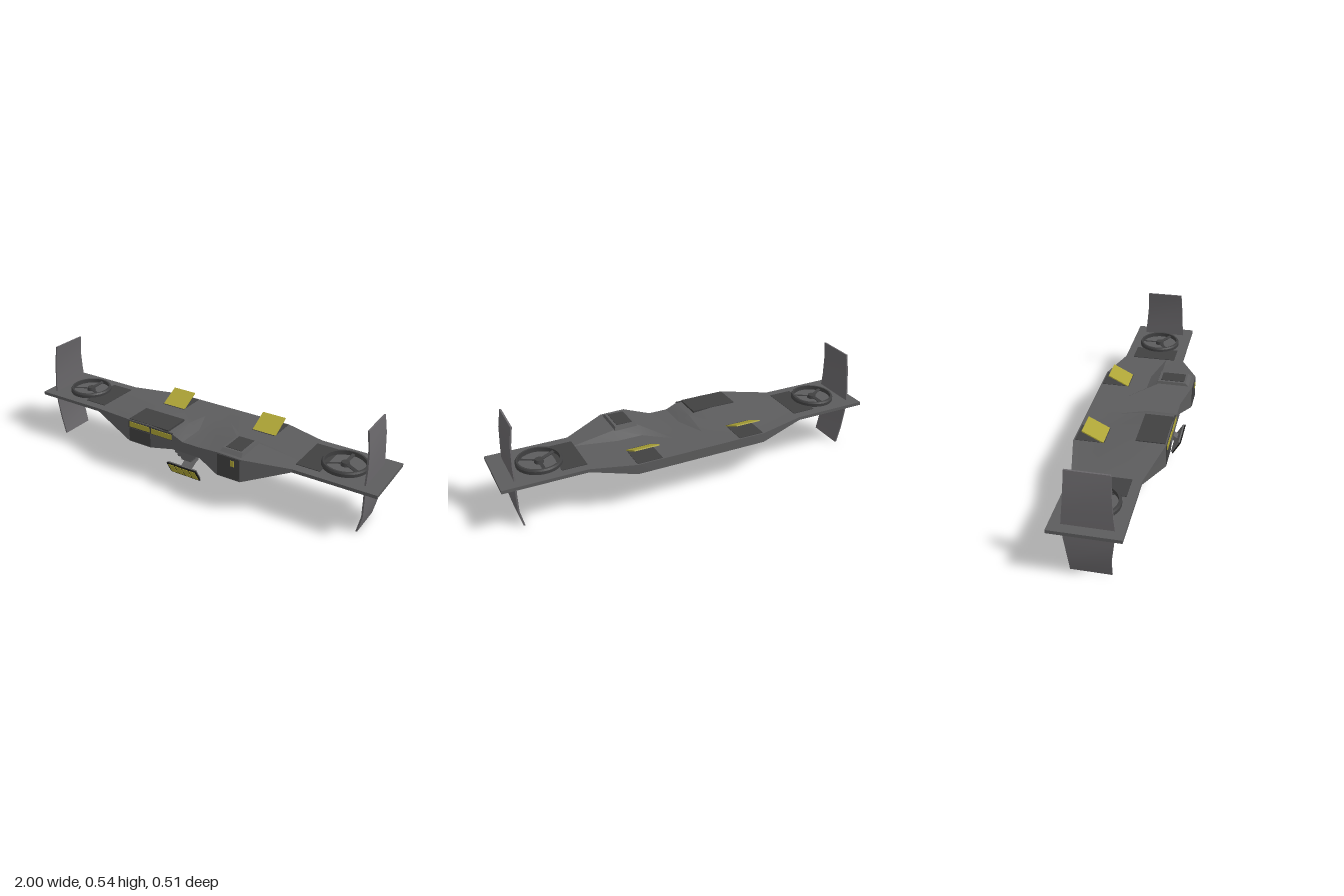
import * as THREE from 'three';
import { toCreasedNormals } from 'three/addons/utils/BufferGeometryUtils.js';

const mat = (color) => new THREE.MeshStandardMaterial({ color, side: THREE.DoubleSide });
const hull = mat(0x5c5c5d), dark = mat(0x404041), fin = mat(0x69676a);
const yellow = mat(0xada436), black = mat(0x161616), grey = mat(0x626263);

// Skin a list of closed rings, each counter-clockwise about the direction of travel
function loft(rings, crease = 0.35) {
  const pos = [], n = rings[0].length;
  const tri = (a, b, c) => pos.push(...a, ...b, ...c);
  for (let i = 0; i < rings.length - 1; i++) {
    for (let j = 0; j < n; j++) {
      const k = (j + 1) % n;
      tri(rings[i][j], rings[i][k], rings[i + 1][k]);
      tri(rings[i][j], rings[i + 1][k], rings[i + 1][j]);
    }
  }
  const last = rings[rings.length - 1];
  for (let j = 1; j < n - 1; j++) {
    tri(rings[0][0], rings[0][j + 1], rings[0][j]);
    tri(last[0], last[j], last[j + 1]);
  }
  const g = new THREE.BufferGeometry();
  g.setAttribute('position', new THREE.Float32BufferAttribute(pos, 3));
  g.computeVertexNormals();
  return toCreasedNormals(g, crease);
}

// Rectangle ring in a level plane
const rect = (x0, x1, y, z0, z1) => [[x0, y, z0], [x0, y, z1], [x1, y, z1], [x1, y, z0]];

function add(parent, name, geometry, material, x = 0, y = 0, z = 0) {
  const m = new THREE.Mesh(geometry, material);
  m.name = name;
  m.position.set(x, y, z);
  parent.add(m);
  return m;
}

// Box given by its limits
const block = (parent, name, material, x0, x1, y0, y1, z0, z1) =>
  add(parent, name, new THREE.BoxGeometry(x1 - x0, y1 - y0, z1 - z0), material,
    (x0 + x1) / 2, (y0 + y1) / 2, (z0 + z1) / 2);

function makeRotor(x) {
  const g = new THREE.Group();
  g.name = 'rotor';
  g.position.set(x, 0.27, -0.025);
  // Outer duct as a turned ring
  const profile = [[0.1, 0], [0.114, 0], [0.114, 0.018], [0.109, 0.026], [0.1, 0.026], [0.1, 0]]
    .map(([r, y]) => new THREE.Vector2(r, y));
  add(g, 'ductRing', toCreasedNormals(new THREE.LatheGeometry(profile, 32), 0.4), dark);
  add(g, 'ductFloor', new THREE.CylinderGeometry(0.102, 0.102, 0.004, 32), hull, 0, 0.002, 0);
  add(g, 'hub', new THREE.CylinderGeometry(0.02, 0.024, 0.018, 16), dark, 0, 0.013, 0);
  for (let i = 0; i < 3; i++) {
    const arm = new THREE.Group();
    arm.name = 'bladeArm';
    arm.rotation.y = Math.PI / 2 + i * Math.PI * 2 / 3;
    const blade = add(arm, 'blade', new THREE.BoxGeometry(0.09, 0.004, 0.016), dark, 0.055, 0.014, 0);
    blade.rotation.x = 0.3;
    g.add(arm);
  }
  return g;
}

export function createModel() {
  const root = new THREE.Group();
  root.name = 'flyingWing';

  // Hull sections: x, front z, rear z, bottom y, top y, hump start z, hump end z, rear bottom y
  const sections = [
    [-1, 0.14, -0.19, 0.255, 0.272, 0.05, -0.1, 0.255],
    [-0.6, 0.14, -0.19, 0.255, 0.272, 0.05, -0.1, 0.255],
    [-0.34, 0.205, -0.255, 0.18, 0.306, 0.05, -0.1, 0.22],
    [-0.2, 0.205, -0.255, 0.18, 0.308, 0.05, -0.1, 0.22],
    [-0.06, 0.205, -0.255, 0.212, 0.297, 0.05, -0.1, 0.22],
    [0.0, 0.205, -0.255, 0.212, 0.271, 0.05, -0.1, 0.22],
    [0.1, 0.205, -0.255, 0.212, 0.271, 0.05, -0.1, 0.22],
    [0.23, 0.248, -0.255, 0.18, 0.305, 0.06, 0.0, 0.22],
    [0.36, 0.248, -0.255, 0.18, 0.303, 0.06, 0.0, 0.22],
    [0.58, 0.145, -0.19, 0.255, 0.272, 0.05, -0.1, 0.255],
    [1, 0.145, -0.19, 0.255, 0.272, 0.05, -0.1, 0.255],
  ];
  const rings = sections.map(([x, zf, zr, yb, yt, zh, ze, yr]) => [
    [x, yb, zf], [x, Math.min(yb + 0.01, yr), -0.13], [x, yr, zr],
    [x, 0.272, zr], [x, 0.272, ze], [x, yt, zh], [x, yt, zf],
  ]);
  add(root, 'hull', loft(rings), hull);

  // Right pod: front panel, windows and roof hatch
  block(root, 'podFrontPanel', dark, -0.335, -0.2, 0.184, 0.26, 0.2, 0.207);
  block(root, 'windowFrame', dark, -0.338, -0.06, 0.263, 0.302, 0.2, 0.208);
  block(root, 'window', yellow, -0.33, -0.203, 0.27, 0.298, 0.2, 0.211);
  block(root, 'window', yellow, -0.19, -0.064, 0.267, 0.295, 0.2, 0.211);
  block(root, 'roofHatch', dark, -0.335, -0.09, 0.296, 0.31, 0.055, 0.2);

  // Left pod: front panel, lamp and raised roof block
  block(root, 'podFrontPanel', dark, 0.234, 0.356, 0.185, 0.3, 0.24, 0.251);
  block(root, 'lamp', yellow, 0.307, 0.328, 0.255, 0.285, 0.245, 0.254);
  add(root, 'roofBlock', loft([rect(0.23, 0.36, 0.29, 0.05, 0.247),
    rect(0.24, 0.35, 0.319, 0.06, 0.21)]), hull);
  block(root, 'roofSlot', dark, 0.253, 0.337, 0.31, 0.321, 0.075, 0.2);

  // Open rear flaps over dark bays
  for (const [x0, x1] of [[-0.335, -0.2], [0.228, 0.36]]) {
    block(root, 'flapBay', dark, x0, x1, 0.262, 0.274, -0.248, -0.1);
    const flap = add(root, 'rearFlap', new THREE.BoxGeometry(x1 - x0, 0.006, 0.124), yellow,
      (x0 + x1) / 2, 0.298, -0.157);
    flap.rotation.x = 0.47;
  }

  // Rotors and their inboard deck panels
  root.add(makeRotor(-0.79), makeRotor(0.775));
  block(root, 'rotorDeck', dark, -0.72, -0.595, 0.262, 0.275, -0.145, 0.095);
  block(root, 'rotorDeck', dark, 0.575, 0.7, 0.262, 0.275, -0.145, 0.095);

  // Curved tip fins: y, outward offset, rear z, front z
  const finRows = [
    [0.0, -0.024, -0.115, 0.075], [0.09, -0.004, -0.118, 0.077], [0.19, 0, -0.13, 0.09],
    [0.265, 0, -0.138, 0.097], [0.34, 0, -0.13, 0.09],
    [0.45, -0.004, -0.12, 0.085], [0.54, -0.018, -0.117, 0.08],
  ];
  for (const [s, base] of [[-1, 0.946], [1, 0.923]]) {
    const finRings = finRows.map(([y, dx, z0, z1]) => {
      const x = s * (base + dx);
      return rect(x - 0.004, x + 0.004, y, z0, z1);
    });
    add(root, 'tipFin', loft(finRings), fin);
  }

  // Stepped mount below the middle
  const cx = 0.012;
  const tiers = [[0.066, 0.195, 0.215, 0.045, 0.2], [0.052, 0.178, 0.197, 0.06, 0.197],
    [0.035, 0.16, 0.18, 0.08, 0.19]];
  for (const [w, y0, y1, z0, z1] of tiers) {
    add(root, 'mountTier', loft([rect(cx - w + 0.006, cx + w - 0.006, y0, z0 + 0.006, z1),
      rect(cx - w, cx + w, y1, z0, z1)]), grey);
  }

  // Bent arm cut from its side outline (z, y)
  const outline = [[0.105, 0.165], [0.11, 0.136], [0.14, 0.128], [0.175, 0.108],
    [0.2, 0.112], [0.21, 0.128], [0.185, 0.145], [0.155, 0.165]];
  const armShape = new THREE.Shape(outline.map(([z, y]) => new THREE.Vector2(-z, y)));
  const armGeo = new THREE.ExtrudeGeometry(armShape, { depth: 0.044, bevelEnabled: false });
  armGeo.rotateY(Math.PI / 2);
  add(root, 'mountArm', armGeo, grey, cx - 0.022, 0, 0);

  // Tilted lamp panel with four cells
  const panel = new THREE.Group();
  panel.name = 'lampPanel';
  panel.position.set(cx, 0.113, 0.214);
  panel.rotation.x = 0.52;
  block(panel, 'panelBack', grey, -0.085, 0.085, -0.038, 0.038, -0.008, 0.001);
  block(panel, 'panelFrame', black, -0.088, 0.088, -0.041, 0.041, 0, 0.006);
  for (let i = 0; i < 4; i++) {
    const x = -0.063 + i * 0.042;
    block(panel, 'lampCell', yellow, x - 0.018, x + 0.018, -0.033, 0.033, 0.003, 0.008);
  }
  root.add(panel);
  return root;
}
